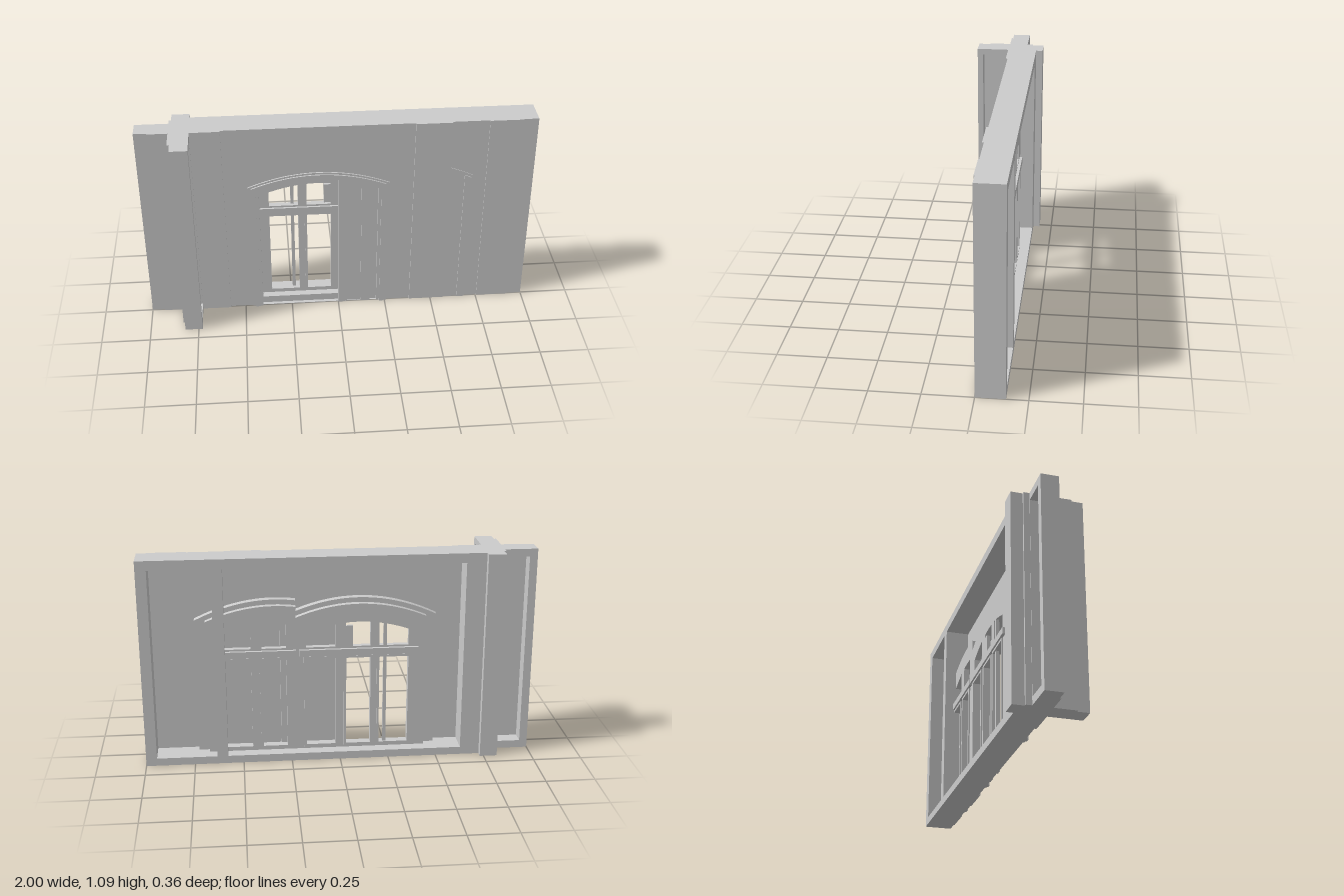
import * as THREE from 'three';

const material = new THREE.MeshStandardMaterial({ color: 0xcccccc, side: THREE.DoubleSide });
const H = 1.09;

// Shallow arch: height as a function of x
const arch = (cx, hw, spring, apex) => (x) => {
  const t = Math.min(1, Math.abs((x - cx) / hw));
  return spring + (apex - spring) * (1 - t * t);
};

// Points along a curve y = f(x) from a to b
function along(f, a, b, n = 20) {
  const pts = [];
  for (let i = 0; i <= n; i++) {
    const x = a + ((b - a) * i) / n;
    pts.push(new THREE.Vector2(x, f(x)));
  }
  return pts;
}
const v = (x, y) => new THREE.Vector2(x, y);
const rect = (x0, x1, y0, y1) => [v(x0, y0), v(x1, y0), v(x1, y1), v(x0, y1)];
const arched = (x0, x1, y0, f) => [v(x0, y0), v(x1, y0), ...along(f, x1, x0)];

export function createModel() {
  const model = new THREE.Group();

  function slab(name, outline, z0, z1, holes = [], parent = model) {
    const shape = new THREE.Shape(outline);
    holes.forEach((h) => shape.holes.push(new THREE.Path(h)));
    const geo = new THREE.ExtrudeGeometry(shape, { depth: z1 - z0, bevelEnabled: false });
    geo.translate(0, 0, z0);
    const mesh = new THREE.Mesh(geo, material);
    mesh.name = name;
    parent.add(mesh);
    return mesh;
  }
  const box = (name, x0, x1, y0, y1, z0, z1, parent) =>
    slab(name, rect(x0, x1, y0, y1), z0, z1, [], parent);

  // Arch band with straight legs; clip cuts off everything left of that x
  function band(name, cx, outer, inner, z0, z1, y0 = 0, clip = -Infinity, parent = model) {
    const [hwO, sO, aO] = outer, [hwI, sI, aI] = inner;
    const fO = arch(cx, hwO, sO, aO), fI = arch(cx, hwI, sI, aI);
    const a = Math.max(cx - hwO, clip), b = Math.max(cx - hwI, clip);
    const pts = [...along(fO, a, cx + hwO), v(cx + hwO, y0), v(cx + hwI, y0), ...along(fI, cx + hwI, b)];
    if (clip < cx - hwO) pts.push(v(cx - hwI, y0), v(cx - hwO, y0));
    return slab(name, pts, z0, z1, [], parent);
  }

  const cx = -0.1, pitch = 0.43;
  const opening = [0.305, 0.725, 0.79];
  const head = arch(cx, ...opening);

  // Wall: back frame with two bays, thin front panel with the arched opening
  slab('wallFrame', rect(-0.73, 1, 0, H), -0.145, -0.018,
    [rect(0.635, 0.945, 0.04, 1.04), rect(-0.63, 0.58, 0.04, 1.04)]);
  slab('frontPanel', rect(-0.73, 1, 0, H), -0.018, 0,
    [arched(cx - 0.305, cx + 0.305, 0.001, head)]);

  // Narrow wall beyond the pier
  slab('sideWallFrame', rect(-1, -0.82, 0, H), -0.09, -0.018, [rect(-0.96, -0.835, 0.04, 1.05)]);
  box('sideWallPanel', -1, -0.82, 0, H, -0.018, 0);

  // Pier: solid behind, hollow fin in front that opens towards +x
  const pier = new THREE.Group();
  pier.name = 'pier';
  model.add(pier);
  box('pierBack', -0.82, -0.73, 0, H, -0.18, 0.015, pier);
  box('finSkin', -0.82, -0.8, 0, H, 0.015, 0.18, pier);
  box('finFront', -0.8, -0.73, 0, H, 0.15, 0.18, pier);
  box('finBottom', -0.8, -0.73, 0, 0.037, 0.015, 0.15, pier);
  box('finTop', -0.8, -0.73, 1.057, H, 0.015, 0.15, pier);
  box('finRib', -0.832, -0.82, 0, H, -0.12, 0.12, pier);

  // Shallow vertical strips on the front
  [[-0.935, -0.83, 0.008], [-0.73, -0.58, 0.01], [0.385, 0.57, 0.009], [0.755, 0.925, 0.005]]
    .forEach(([a, b, z]) => box('wallStrip', a, b, 0, H, 0, z));

  // Windows: three lights each, the second one is cut off at its left
  function buildWindow(dx, clip, firstLight) {
    const win = new THREE.Group();
    win.name = 'window';
    model.add(win);
    const c = cx + dx;
    const top = arch(c, ...opening);
    const left = Math.max(c - 0.305, clip);
    const lights = [[-0.355, -0.205], [-0.16, -0.035], [0.02, 0.17]].slice(firstLight)
      .map(([a, b]) => [a + dx, b + dx]);
    const holes = [];
    lights.forEach(([a, b]) => {
      holes.push(rect(a, b, 0.065, 0.54));
      holes.push(arched(a, b, 0.6, (x) => top(x) - 0.06));
    });
    slab('windowFrame', arched(left, c + 0.305, 0.01, top), -0.085, -0.055, holes, win);
    box('transom', left, c + 0.305, 0.555, 0.59, -0.1, -0.045, win);
    box('sill', left, c + 0.305, 0.005, 0.04, -0.11, -0.03, win);
    // Raised rims around the lights
    lights.forEach(([a, b]) => {
      slab('sashRim', rect(a - 0.012, b + 0.012, 0.053, 0.552), -0.093, -0.05,
        [rect(a, b, 0.065, 0.54)], win);
    });
    // Reveal and stepped hood behind the wall
    band('reveal', c, [0.345, 0.75, 0.825], opening, -0.085, -0.005, 0.02, clip, win);
    band('hood', c, [0.4, 0.75, 0.85], [0.345, 0.75, 0.825], -0.055, -0.005, 0.04, clip, win);
    return win;
  }
  const mainWindow = buildWindow(0, -Infinity, 0);
  buildWindow(pitch, 0.22, 1);

  // Thin bars seen through the open lights
  box('casementBar', -0.243, -0.226, 0.06, 0.72, -0.085, -0.07, mainWindow);
  box('casementBar', -0.07, -0.035, 0.6, 0.71, -0.085, -0.07, mainWindow);

  // Stepped panels closing the right part of the opening
  [[0, 0.04, 0.006], [0.04, 0.12, -0.004], [0.12, 0.17, 0.004], [0.17, 0.205, -0.008]]
    .forEach(([a, b, z]) => slab('shutterPanel', arched(a, b, 0, head), -0.018, z));

  // Moulded trim round the front opening
  band('outerTrim', cx, [0.36, 0.755, 0.83], opening, 0, 0.007);
  band('innerTrim', cx, [0.345, 0.75, 0.82], [0.32, 0.735, 0.803], 0, 0.014);

  // Visible end of the second window's trim
  const trimTop = arch(cx + pitch, 0.36, 0.775, 0.865);
  slab('trimEnd', arched(0.57, 0.69, 0, trimTop), 0, 0.004);
  slab('trimEndStep', arched(0.645, 0.68, 0, (x) => trimTop(x) - 0.015), 0, 0.01);

  return model;
}
